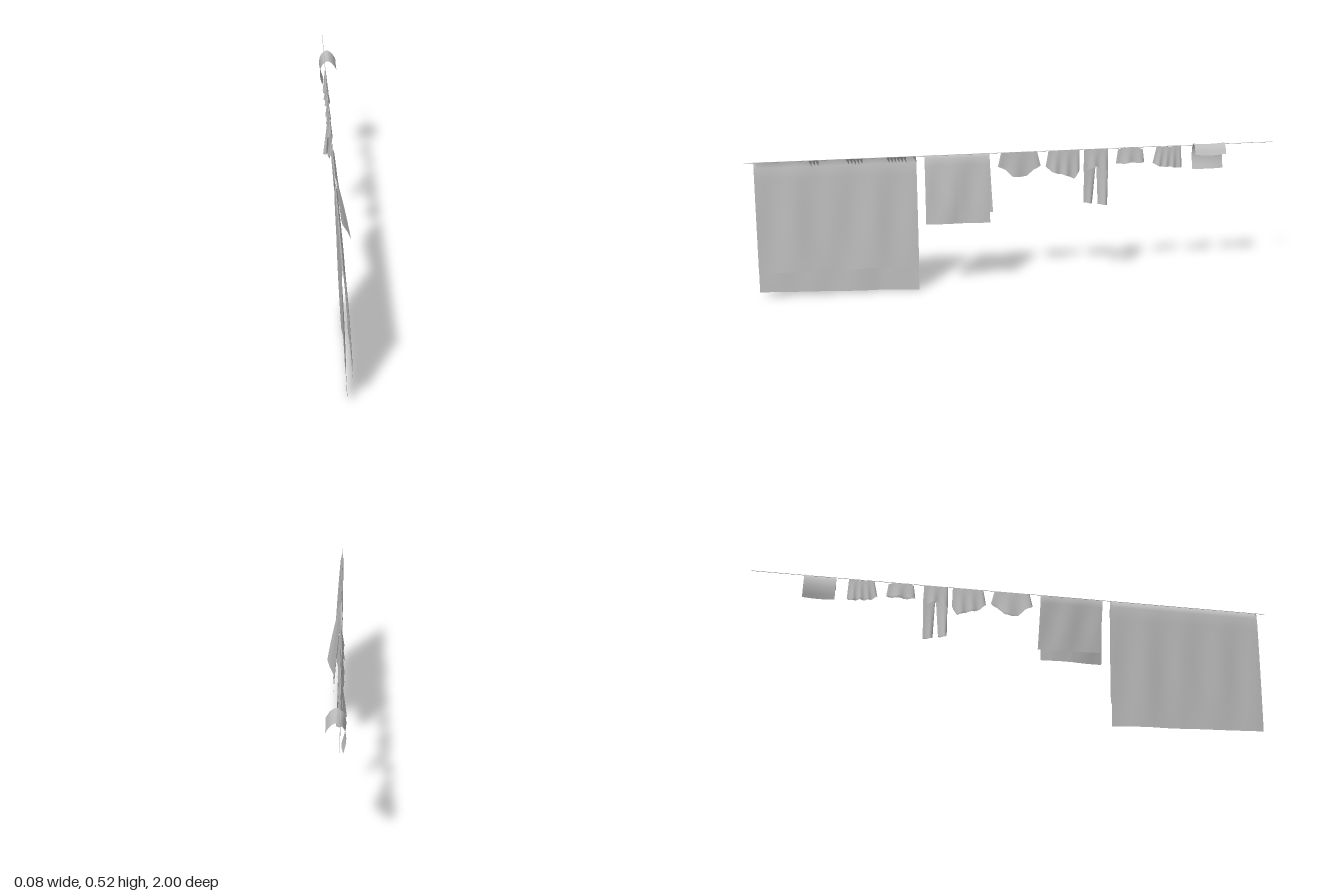
import * as THREE from 'three';

const LINE_X = -0.02, LINE_Y = 0.516;
const lerp = THREE.MathUtils.lerp;

// Piecewise-linear lookup through evenly spaced values
function along(values, t) {
  const f = THREE.MathUtils.clamp(t, 0, 1) * (values.length - 1);
  const i = Math.min(Math.floor(f), values.length - 2);
  return lerp(values[i], values[i + 1], f - i);
}

// Grid surface: point(u, v) returns [x, y, z]
function surface(nu, nv, point) {
  const pos = [], index = [];
  for (let j = 0; j <= nv; j++) {
    for (let i = 0; i <= nu; i++) pos.push(...point(i / nu, j / nv));
  }
  for (let j = 0; j < nv; j++) {
    for (let i = 0; i < nu; i++) {
      const a = j * (nu + 1) + i, b = a + 1, c = a + nu + 1, d = c + 1;
      index.push(a, c, b, b, c, d);
    }
  }
  const geo = new THREE.BufferGeometry();
  geo.setAttribute('position', new THREE.Float32BufferAttribute(pos, 3));
  geo.setIndex(index);
  geo.computeVertexNormals();
  return geo;
}

export function createModel() {
  const group = new THREE.Group();
  const cloth = new THREE.MeshStandardMaterial({ color: 0xbfbfbf, side: THREE.DoubleSide });
  cloth.name = 'grey cloth';

  function add(name, geo, parent = group) {
    const mesh = new THREE.Mesh(geo, cloth);
    mesh.name = name;
    parent.add(mesh);
    return mesh;
  }

  // Rectangular cloth folded over the line; near hangs on +x, far on -x
  function hang(name, z0, z1, far, near, waves, amp) {
    add(name, surface(48, 40, (u, v) => {
      const s = v * 2 - 1, t = Math.abs(s), side = s < 0 ? far : near;
      const sign = s < 0 ? -1 : 1;
      const topX = LINE_X + sign * 0.005 * Math.min(1, t * 10);
      const drop = along(side.bottom, u);
      const fold = amp * Math.sin(Math.PI * t) * Math.sin(u * waves * Math.PI * 2 + sign);
      const hem = amp * 0.6 * t * t * Math.sin(u * waves * 4 + 2);
      return [
        lerp(topX, along(side.x, u), t) + fold + hem,
        lerp(LINE_Y, drop, t),
        lerp(z0, z1, u) + (side.shift || 0) * t,
      ];
    }));
  }

  // Flattened tube of cloth with a shaped hem, hanging from its top edge
  function garment(name, o, parent = group) {
    add(name, surface(48, 14, (u, v) => {
      const back = u > 0.5, w = back ? 2 - u * 2 : u * 2;
      const c0 = (o.top[0] + o.top[1]) / 2, c1 = (o.low[0] + o.low[1]) / 2;
      const half0 = (o.top[1] - o.top[0]) / 2, half1 = (o.low[1] - o.low[0]) / 2;
      const thick = o.thick * Math.sqrt(Math.sin(Math.PI * Math.min(1, w)) + 1e-6) * (0.25 + 0.75 * v);
      const ripple = 0.004 * v * Math.sin(w * (o.waves || 2) * Math.PI * 2);
      return [
        LINE_X + (o.lean || 0) * v + (back ? -thick : thick) + ripple,
        lerp(along(o.crown || [LINE_Y, LINE_Y], w), along(o.hem, w), v),
        lerp(c0, c1, v) + (w * 2 - 1) * lerp(half0, half1, v),
      ];
    }), parent);
  }

  // Clothesline
  const line = add('clothesline', new THREE.CylinderGeometry(0.001, 0.001, 2, 6));
  line.rotation.x = Math.PI / 2;
  line.position.set(LINE_X, LINE_Y, 0);

  // Large sheet and medium towel
  hang('bedSheet', 0.372, 0.965,
    { x: [0.002, -0.004, 0.001, -0.004, -0.002], bottom: [0.002, 0.007, 0.012, 0.017, 0.022], shift: 0 },
    { x: [0.012, 0.017, 0.012, 0.016, 0.015], bottom: [0.1, 0.102, 0.1, 0.102, 0.1], shift: 0 }, 4, 0.003);
  hang('bathTowel', 0.098, 0.342,
    { x: [-0.006, -0.004, 0], bottom: [0.292, 0.296, 0.3], shift: -0.01 },
    { x: [0.008, 0.014, 0.039], bottom: [0.255, 0.259, 0.268], shift: 0.003 }, 2, 0.003);

  // Small clothes
  garment('briefs', {
    top: [-0.082, 0.055], low: [-0.096, 0.066], thick: 0.007, lean: -0.002,
    hem: [0.46, 0.448, 0.423, 0.42, 0.424, 0.45, 0.462],
  });
  garment('blouse', {
    top: [-0.243, -0.125], low: [-0.245, -0.115], thick: 0.009, waves: 3,
    hem: [0.437, 0.405, 0.416, 0.424, 0.428, 0.436, 0.455],
  });
  garment('childShorts', {
    top: [-0.488, -0.392], low: [-0.495, -0.385], thick: 0.009,
    crown: [0.508, 0.516, 0.514, 0.518, 0.51], hem: [0.458, 0.456, 0.46, 0.455, 0.457],
  });
  garment('childShirt', {
    top: [-0.637, -0.542], low: [-0.642, -0.528], thick: 0.008, waves: 4,
    crown: [0.517, 0.514, 0.512, 0.516], hem: [0.432, 0.43, 0.437, 0.436, 0.44, 0.452],
  });

  // Trousers: waist and two legs
  const trousers = new THREE.Group();
  trousers.name = 'trousers';
  group.add(trousers);
  garment('trouserWaist', {
    top: [-0.353, -0.262], low: [-0.355, -0.26], thick: 0.007,
    hem: [0.43, 0.44, 0.45, 0.44, 0.43],
  }, trousers);
  garment('trouserLegLeft', {
    top: [-0.307, -0.262], low: [-0.297, -0.264], thick: 0.008, lean: -0.01, waves: 1,
    crown: [0.46, 0.46], hem: [0.302, 0.306],
  }, trousers);
  garment('trouserLegRight', {
    top: [-0.355, -0.309], low: [-0.352, -0.315], thick: 0.007, lean: 0.008, waves: 1,
    crown: [0.46, 0.46], hem: [0.298, 0.302],
  }, trousers);

  // Hand towel blown into an arch over the line
  const arch = new THREE.CatmullRomCurve3([
    [-0.03, 0.419], [-0.038, 0.45], [-0.039, 0.482], [-0.029, 0.51],
    [-0.008, 0.524], [0.012, 0.513], [0.028, 0.489],
  ].map(([x, y]) => new THREE.Vector3(x, y, 0)));
  add('handTowel', surface(16, 24, (u, v) => {
    const p = arch.getPoint(v);
    const wave = Math.sin(u * Math.PI);
    return [p.x + 0.006 * wave * (1 - v), p.y - 0.004 * wave * v, lerp(-0.805, -0.685, u) + 0.006 * (v - 0.5)];
  }));

  return group;
}
